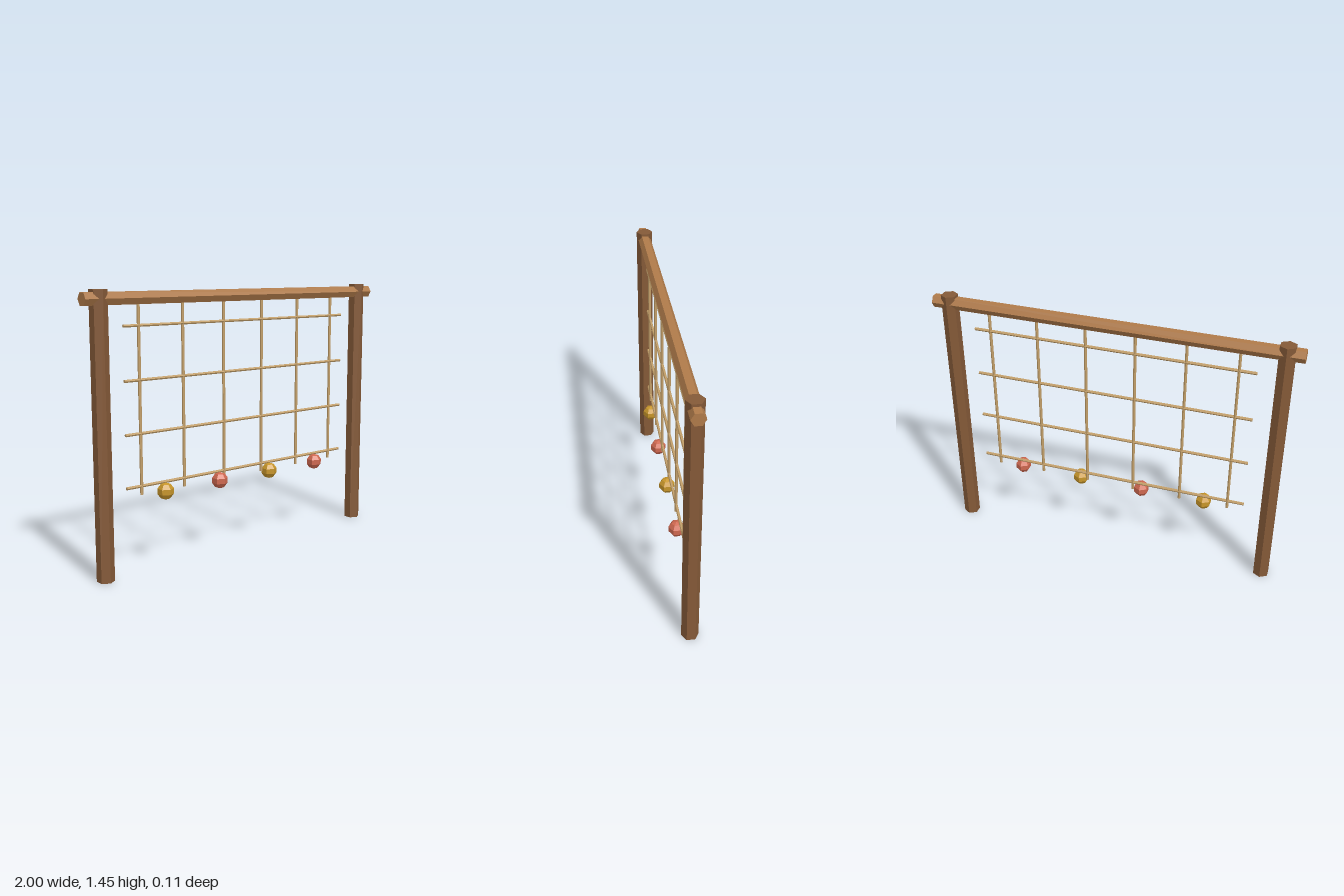
import * as THREE from 'three';

const Z = -0.008; // plane of the frame and net

function material(name, color) {
  const m = new THREE.MeshStandardMaterial({ color, flatShading: true });
  m.name = name;
  return m;
}

export function createModel() {
  const group = new THREE.Group();
  group.name = 'climbingNet';

  const postWood = material('darkWood', 0x855a38);
  const beamWood = material('lightWood', 0xb07b4a);
  const rope = material('rope', 0xc4a06a);
  const yellow = material('yellow', 0xc8962b);
  const red = material('red', 0xcf6850);

  const add = (name, geometry, mat, x, y, z = Z) => {
    const mesh = new THREE.Mesh(geometry, mat);
    mesh.name = name;
    mesh.position.set(x, y, z);
    group.add(mesh);
    return mesh;
  };

  // Hexagonal posts and top beam
  const postGeo = new THREE.CylinderGeometry(0.0455, 0.0455, 1.4545, 6);
  add('leftPost', postGeo, postWood, 0.909, 0.727);
  add('rightPost', postGeo, postWood, -0.909, 0.727);
  const beamGeo = new THREE.CylinderGeometry(0.0364, 0.0364, 2, 6).rotateZ(Math.PI / 2);
  add('topBeam', beamGeo, beamWood, 0, 1.409);

  // Rope net: six hanging ropes and four crossing ropes
  const hangGeo = new THREE.CylinderGeometry(0.0082, 0.0082, 1, 6);
  for (let i = 0; i < 6; i++) {
    add('hangingRope' + (i + 1), hangGeo, rope, -0.682 + i * 0.2727, 0.909);
  }
  const crossGeo = new THREE.CylinderGeometry(0.0082, 0.0082, 1.5455, 6).rotateZ(Math.PI / 2);
  for (let i = 0; i < 4; i++) {
    add('crossRope' + (i + 1), crossGeo, rope, 0, 0.4545 + i * 0.2727);
  }

  // Faceted balls along the bottom, slightly in front of the net
  const ballGeo = new THREE.SphereGeometry(0.0455, 6, 5).rotateY(Math.PI / 2);
  for (let i = 0; i < 4; i++) {
    add('ball' + (i + 1), ballGeo, i % 2 ? red : yellow, -0.5455 + i * 0.3636, 0.409, 0.0102);
  }

  return group;
}
